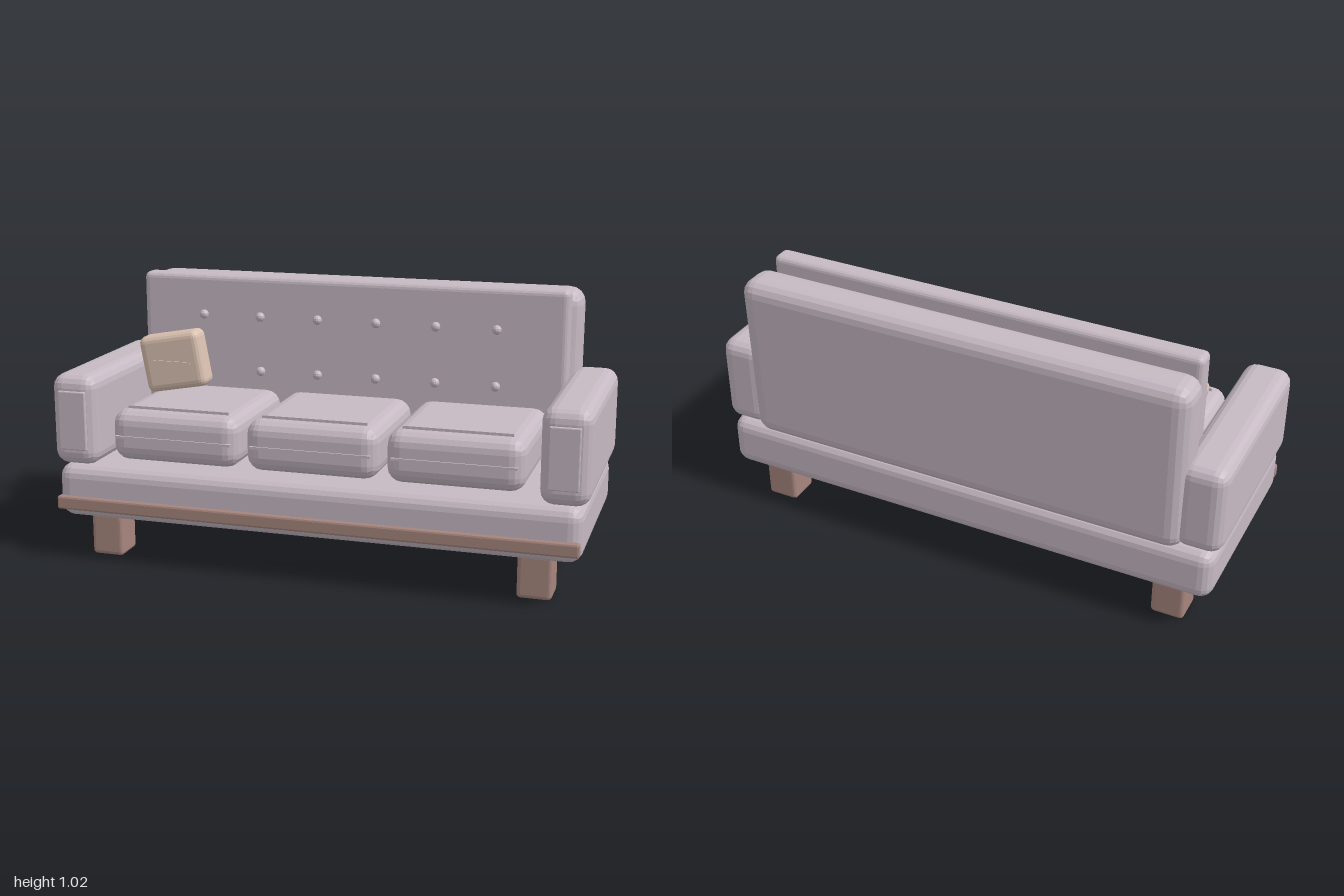
import * as THREE from 'three';

const material = (name, color) => {
  const m = new THREE.MeshStandardMaterial({ color, flatShading: true });
  m.name = name;
  return m;
};

// Box with faceted rounded edges: grid lines crowd at the edges and follow an arc.
function softBox(w, h, d, r, n = 2) {
  const g = new THREE.BoxGeometry(2, 2, 2, 2 * n + 1, 2 * n + 1, 2 * n + 1);
  const pos = g.attributes.position;
  const core = [w / 2 - r, h / 2 - r, d / 2 - r];
  const dir = new THREE.Vector3();
  for (let i = 0; i < pos.count; i++) {
    const side = [0, 0, 0];
    for (let a = 0; a < 3; a++) {
      const k = Math.round(((pos.getComponent(i, a) + 1) / 2) * (2 * n + 1));
      side[a] = k <= n ? -1 : 1;
      const step = k <= n ? n - k : k - n - 1;
      dir.setComponent(a, Math.tan((side[a] * step / n) * Math.PI / 4));
    }
    dir.normalize();
    for (let a = 0; a < 3; a++) pos.setComponent(i, a, side[a] * core[a] + dir.getComponent(a) * r);
  }
  g.computeVertexNormals();
  return g;
}

export function createModel() {
  const sofa = new THREE.Group();
  sofa.name = 'sofa';
  const fabric = material('mauve fabric', 0xc6b9c3);
  const wood = material('brown wood', 0xa6857d);
  const tan = material('tan pillow fabric', 0xdac1b1);

  const add = (name, geometry, mat, x, y, z) => {
    const mesh = new THREE.Mesh(geometry, mat);
    mesh.name = name;
    mesh.position.set(x, y, z);
    sofa.add(mesh);
    return mesh;
  };
  // Soft box given by its [min, max] on each axis
  const block = (name, mat, [x0, x1], [y0, y1], [z0, z1], r, n) =>
    add(name, softBox(x1 - x0, y1 - y0, z1 - z0, r, n), mat,
      (x0 + x1) / 2, (y0 + y1) / 2, (z0 + z1) / 2);

  // Base and front rail
  block('base', fabric, [-0.98, 0.98], [0.158, 0.36], [-0.385, 0.395], 0.05);
  block('frontRail', wood, [-0.975, 0.975], [0.192, 0.243], [0.381, 0.414], 0.008, 1);

  // Arms with front panels, and legs
  for (const s of [-1, 1]) {
    const side = s > 0 ? 'left' : 'right';
    const span = (a, b) => (s > 0 ? [a, b] : [-b, -a]);
    block(side + 'Arm', fabric, span(0.823, 1), [0.357, 0.7], [-0.375, 0.385], 0.05);
    block(side + 'ArmPanel', fabric, span(0.855, 0.963), [0.42, 0.642], [0.375, 0.395], 0.004, 1);
    block(side + 'FrontLeg', wood, span(0.75, 0.875), [0, 0.165], [0.21, 0.335], 0.015);
    block(side + 'BackLeg', wood, span(0.75, 0.875), [0, 0.165], [-0.328, -0.202], 0.015);
  }

  // Backrest, thinner and leaning slightly back toward the top
  const back = block('backrest', fabric, [-0.863, 0.863], [0.34, 1.0], [-0.5, 0.5], 0.06);
  back.geometry = softBox(1.726, 0.66, 0.19, 0.06);
  back.position.z = 0;
  const pos = back.geometry.attributes.position;
  for (let i = 0; i < pos.count; i++) {
    const t = pos.getY(i) / 0.66 + 0.5;
    pos.setZ(i, pos.getZ(i) * (1 - 0.14 * t) - 0.3 - 0.028 * t);
  }
  back.geometry.computeVertexNormals();

  block('backCushion', fabric, [-0.836, 0.836], [0.475, 1.016], [-0.21, -0.129], 0.022);

  // Two rows of tufting buttons
  const button = new THREE.SphereGeometry(0.018, 12, 8);
  for (const y of [0.648, 0.862])
    for (let i = 0; i < 6; i++)
      add('button', button, fabric, -0.582 + 0.231 * i, y, -0.118);

  // Three seat cushions with raised seams
  for (const x of [-0.524, 0, 0.524]) {
    block('seatCushion', fabric, [x - 0.248, x + 0.248], [0.382, 0.573], [-0.235, 0.36], 0.055);
    add('frontSeam', new THREE.BoxGeometry(0.45, 0.009, 0.012), fabric, x, 0.476, 0.36);
    add('topSeam', new THREE.BoxGeometry(0.395, 0.016, 0.009), fabric, x, 0.575, 0.296);
  }

  // Throw pillow tipped to one side, with a seam
  const pillow = add('pillow', softBox(0.25, 0.22, 0.097, 0.028), tan, -0.655, 0.698, -0.002);
  pillow.rotation.z = 0.18;
  add('pillowSeam', new THREE.BoxGeometry(0.15, 0.009, 0.01), tan, -0.655, 0.698, 0.047);

  return sofa;
}
